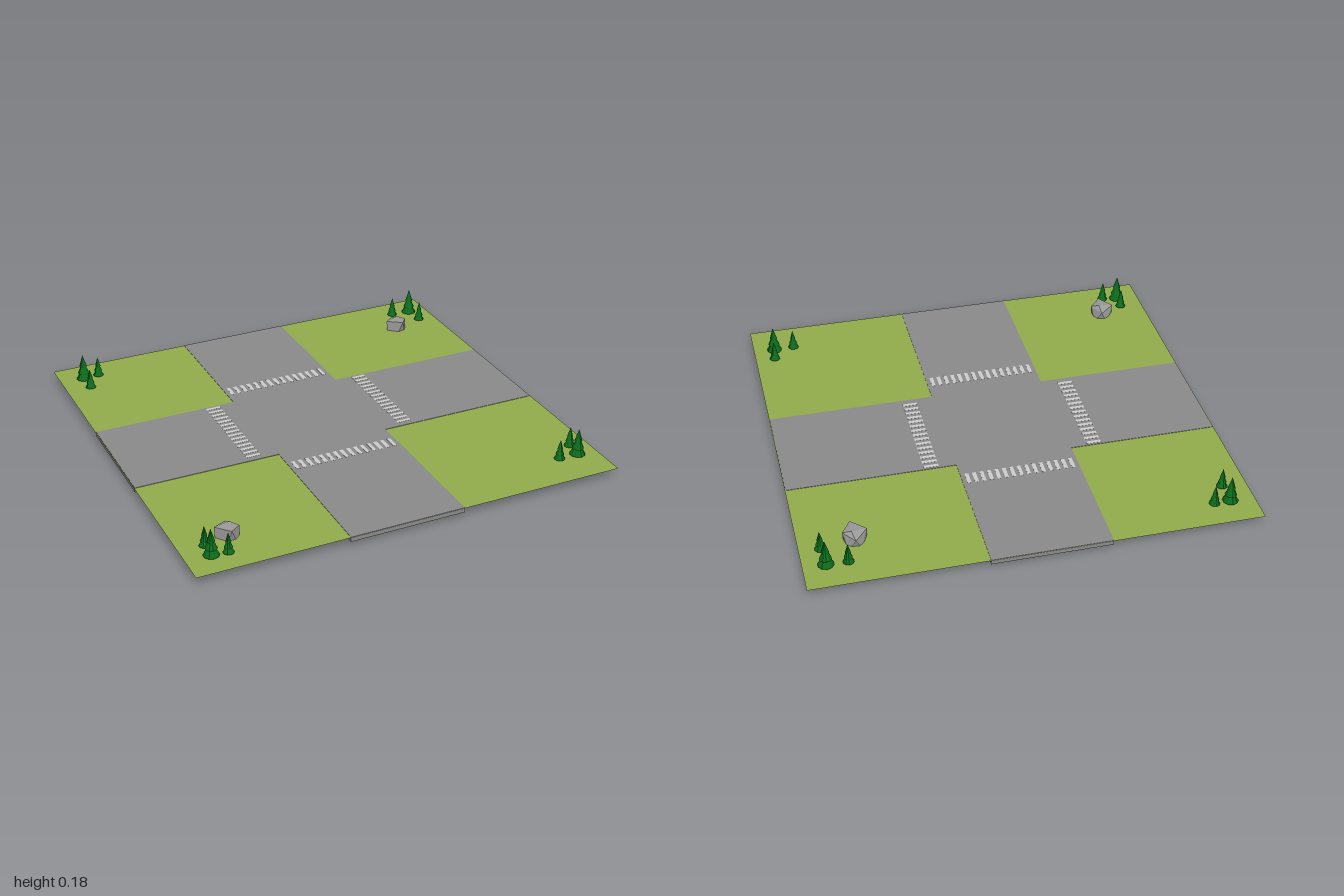
import * as THREE from 'three';
import { ConvexGeometry } from 'three/addons/geometries/ConvexGeometry.js';

const mat = (color, extra = {}) => new THREE.MeshStandardMaterial({ color, ...extra });

export function createModel() {
  const group = new THREE.Group();
  const asphalt = mat(0x8a8a8a), paint = mat(0xcccccc);
  const grassMat = mat(0x91ab4a, { side: THREE.DoubleSide });
  const rockMat = mat(0x999999, { flatShading: true });
  const leafMat = mat(0x0b6b1c, { flatShading: true });
  const trunkMat = mat(0x4a2b14, { flatShading: true });

  const add = (parent, name, geometry, material, x = 0, y = 0, z = 0) => {
    const mesh = new THREE.Mesh(geometry, material);
    mesh.name = name;
    mesh.position.set(x, y, z);
    parent.add(mesh);
    return mesh;
  };

  // Thin lawn sheet, just under the road surface
  const lawn = new THREE.PlaneGeometry(2, 1.945).rotateX(-Math.PI / 2);
  add(group, 'grass', lawn, grassMat, 0, 0.046, 0);

  // Cross-shaped road slab (shape y becomes -z)
  const [x0, x1, z0, z1, ex, ez] = [-0.315, 0.223, -0.31, 0.228, 0.997, 0.971];
  const outline = [
    [x0, -ez], [x1, -ez], [x1, z0], [ex, z0], [ex, z1], [x1, z1],
    [x1, ez], [x0, ez], [x0, z1], [-ex, z1], [-ex, z0], [x0, z0],
  ];
  const cross = new THREE.Shape(outline.map(([x, z]) => new THREE.Vector2(x, -z)));
  const slab = new THREE.ExtrudeGeometry(cross, { depth: 0.023, bevelEnabled: false });
  add(group, 'road', slab.rotateX(-Math.PI / 2), asphalt, 0, 0.025, 0);

  // Crosswalk stripes, running through the slab
  const crosswalk = (name, alongX, across) => {
    const walk = new THREE.Group();
    walk.name = name;
    const stripe = new THREE.BoxGeometry(alongX ? 0.017 : 0.068, 0.0245, alongX ? 0.068 : 0.017);
    for (let i = 0; i < 15; i++) {
      const along = -0.286 + i * 0.0343;
      const [x, z] = alongX ? [along, across] : [across, along - 0.005];
      add(walk, 'stripe', stripe, paint, x, 0.0365, z);
    }
    group.add(walk);
  };
  crosswalk('backCrosswalk', true, -0.416);
  crosswalk('frontCrosswalk', true, 0.346);
  crosswalk('leftCrosswalk', false, 0.337);
  crosswalk('rightCrosswalk', false, -0.425);

  // Conifers: three stacked cones on a short trunk
  const tree = (x, z, radius, top) => {
    const t = new THREE.Group();
    t.name = 'tree';
    t.position.set(x, 0, z);
    const base = 0.052, h = top - base;
    add(t, 'trunk', new THREE.CylinderGeometry(radius * 0.25, radius * 0.25, 0.035, 8), trunkMat, 0, 0.0415, 0);
    [[0, 0.55, 1], [0.25, 0.5, 0.76], [0.52, 0.48, 0.5]].forEach(([from, size, r]) => {
      add(t, 'foliage', new THREE.ConeGeometry(radius * r, h * size, 10), leafMat, 0, base + h * (from + size / 2), 0);
    });
    group.add(t);
  };
  // Each corner: one large tree followed by two small ones
  const clumps = [
    [[-0.887, -0.837], [-0.812, -0.842], [-0.885, -0.736]],
    [[0.9, -0.837], [0.805, -0.842], [0.908, -0.736]],
    [[-0.887, 0.852], [-0.887, 0.777], [-0.816, 0.863]],
    [[0.9, 0.795], [0.908, 0.717], [0.805, 0.797]],
  ];
  for (const [big, ...small] of clumps) {
    tree(...big, 0.036, 0.178);
    for (const s of small) tree(...s, 0.025, 0.147);
  }

  // Tilted blocky boulders, partly sunk through the lawn
  const rockPoints = [
    [-0.057, 0.095, 0], [0, 0.082, -0.057], [0.05, 0.09, 0], [0.008, 0.1, 0.057],
    [0.012, 0.104, -0.015], [-0.055, 0.045, 0.005],
    [-0.022, 0, 0.035], [0.043, 0.004, 0.02], [0.033, 0.022, -0.04], [-0.027, 0.025, -0.045],
  ].map((p) => new THREE.Vector3(...p));
  const rock = new ConvexGeometry(rockPoints);
  add(group, 'rock', rock, rockMat, 0.757, 0, -0.7);
  add(group, 'rock', rock, rockMat, -0.77, 0, 0.74).rotation.y = -0.2;

  return group;
}
